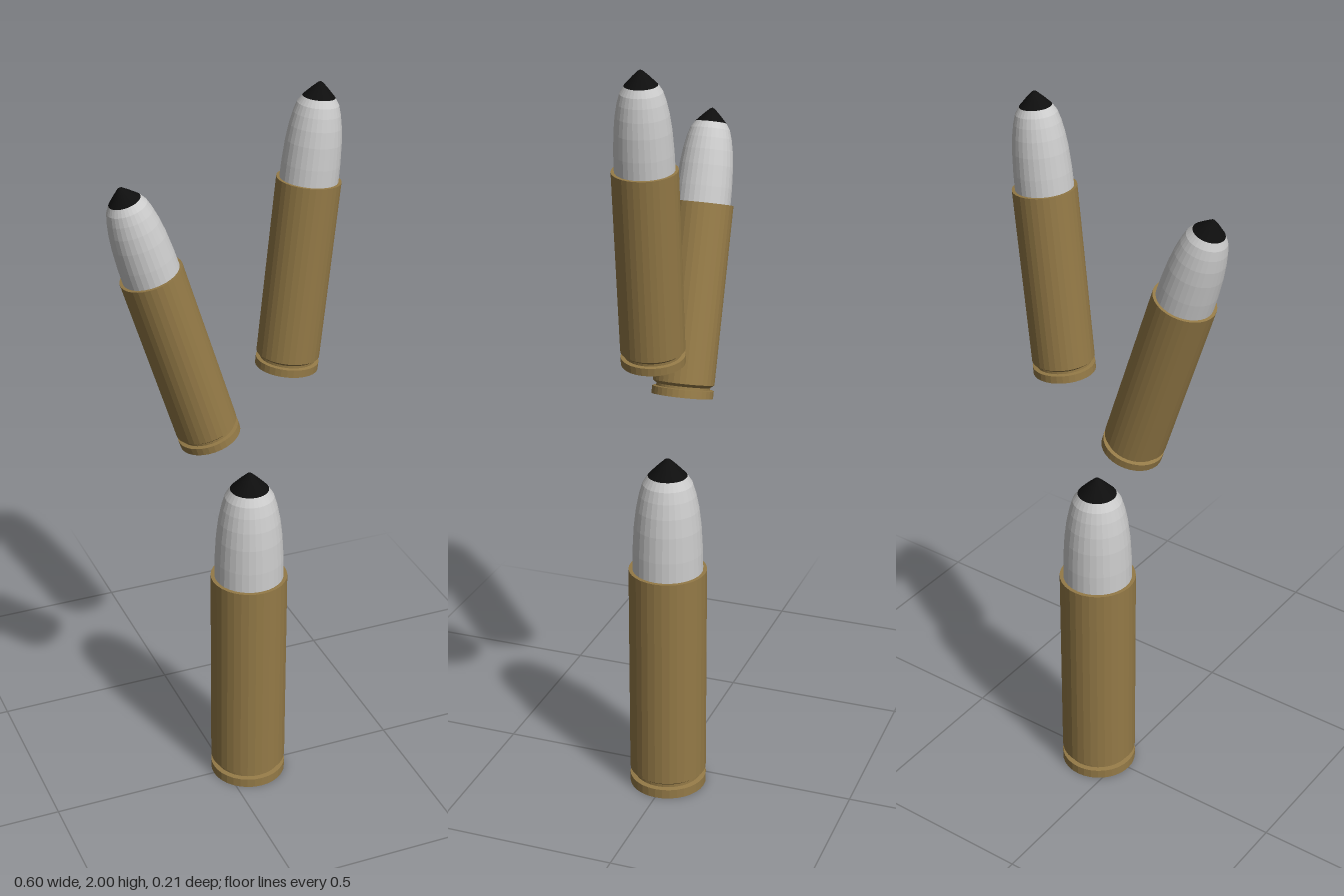
import * as THREE from 'three';

const SEGMENTS = 32;
const brass = new THREE.MeshStandardMaterial({ color: 0x947a47, flatShading: true });
const steel = new THREE.MeshStandardMaterial({ color: 0xcccccc, flatShading: true });
const black = new THREE.MeshStandardMaterial({ color: 0x0e0e0e, flatShading: true });

// Turned part from [radius, height] pairs, listed bottom to top
function turned(name, profile, material) {
  const points = profile.map(([r, y]) => new THREE.Vector2(r, y));
  const mesh = new THREE.Mesh(new THREE.LatheGeometry(points, SEGMENTS), material);
  mesh.name = name;
  return mesh;
}

// One upright cartridge standing on its base
function cartridge(name) {
  const group = new THREE.Group();
  group.name = name;
  group.add(
    // Case with base rim, extractor groove and open mouth lip
    turned('case', [
      [0, 0], [0.104, 0], [0.104, 0.026], [0.091, 0.028], [0.091, 0.036],
      [0.104, 0.046], [0.104, 0.645], [0.092, 0.645],
    ], brass),
    // Rounded bullet body
    turned('bullet', [
      [0.094, 0.64], [0.093, 0.7], [0.089, 0.77], [0.083, 0.82],
      [0.075, 0.86], [0.066, 0.89], [0.052, 0.912],
    ], steel),
    // Pointed dark tip
    turned('tip', [[0.052, 0.912], [0.026, 0.939], [0.008, 0.956], [0, 0.96]], black),
  );
  return group;
}

export function createModel() {
  const model = new THREE.Group();
  model.name = 'cartridges';

  // Large upright cartridge with two smaller tilted ones above
  const placements = [
    ['largeCartridge', 0.068, 0, 1, 0],
    ['rightTiltedCartridge', -0.043, 1.093, 0.778, 0.309],
    ['leftTiltedCartridge', 0.168, 1.258, 0.778, -0.104],
  ];
  for (const [name, x, y, scale, tilt] of placements) {
    const item = cartridge(name);
    item.position.set(x, y, 0);
    item.scale.setScalar(scale);
    item.rotation.z = tilt;
    model.add(item);
  }
  return model;
}
